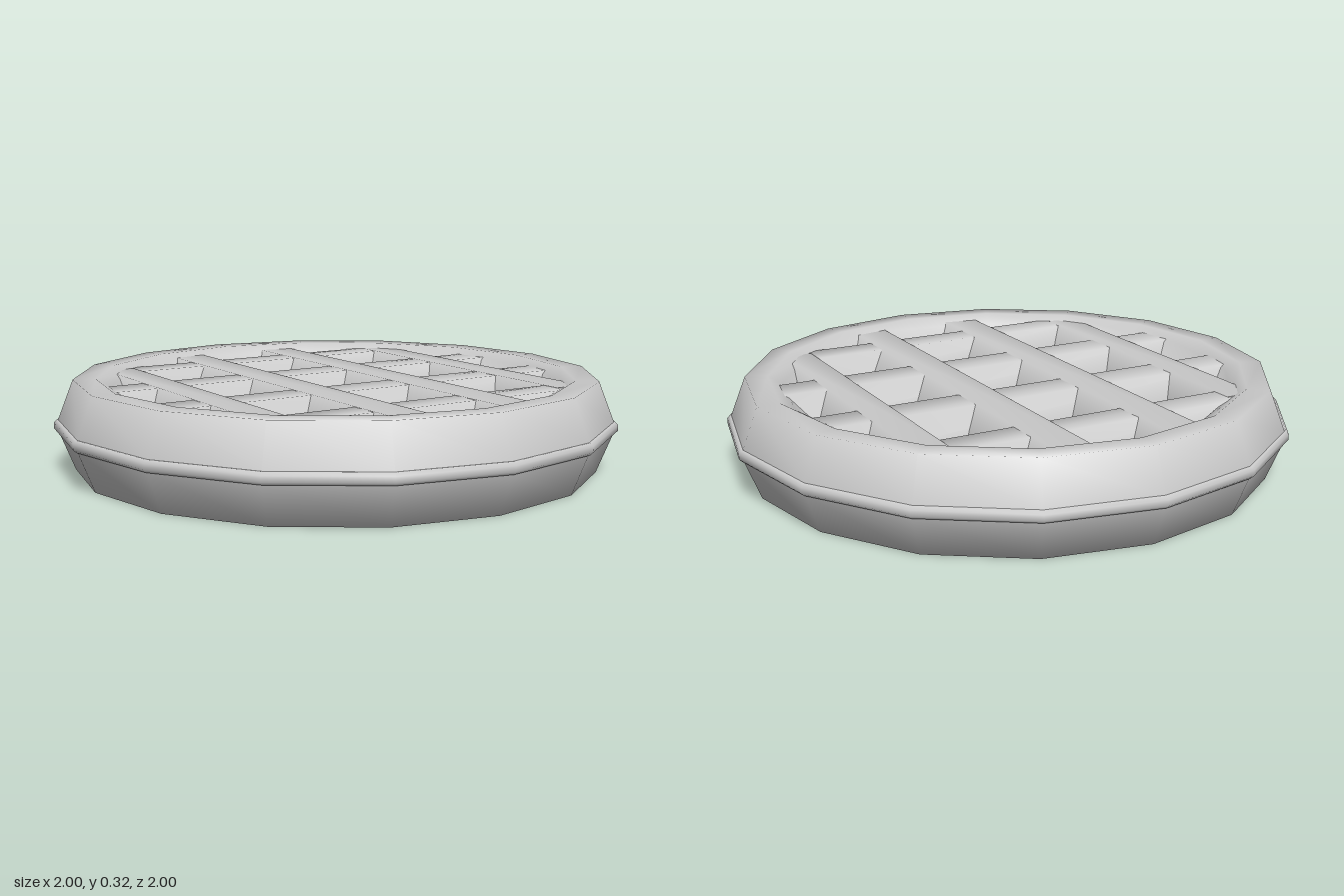
import * as THREE from 'three';
import { toCreasedNormals } from 'three/addons/utils/BufferGeometryUtils.js';

const MID = 0.16; // height of the mirror plane
const material = new THREE.MeshStandardMaterial({ color: 0xcccccc });

function addMesh(parent, name, geometry) {
  const mesh = new THREE.Mesh(geometry, material);
  mesh.name = name;
  parent.add(mesh);
  return mesh;
}

// Revolves an upper half profile (radius, height above the middle), mirrored below
function mirroredLathe(half) {
  const lower = half.map(([r, h]) => new THREE.Vector2(r, MID - h));
  const upper = half.map(([r, h]) => new THREE.Vector2(r, MID + h)).reverse();
  return new THREE.LatheGeometry([...lower, ...upper], 16);
}

// Bar along z with bevelled shoulders above and below
function barGeometry(halfWidth, halfLength, halfHeight) {
  const w = halfWidth, t = halfWidth * 0.48, h = halfHeight, s = 0.05;
  const section = new THREE.Shape([
    [w, -s], [w, s], [t, h], [-t, h], [-w, s], [-w, -s], [-t, -h], [t, -h],
  ].map(([x, y]) => new THREE.Vector2(x, y)));
  const geometry = new THREE.ExtrudeGeometry(section, { depth: 2 * halfLength, bevelEnabled: false });
  geometry.translate(0, 0, -halfLength);
  return toCreasedNormals(geometry, 1.2);
}

export function createModel() {
  const model = new THREE.Group();
  model.name = 'waffle';

  // Thin floor, sloping inner wall and thick outer rim
  addMesh(model, 'rimAndFloor', mirroredLathe([
    [0, 0.015], [0.69, 0.02], [0.80, 0.13], [0.85, 0.16], [0.93, 0.16], [0.985, 0.02],
  ]));

  // Narrow seam around the edge
  addMesh(model, 'edgeSeam', mirroredLathe([[0.97, 0.021], [0.99, 0.02], [1, 0.01]]));

  // Crossing bars of the grid
  const grid = new THREE.Group();
  grid.name = 'grid';
  model.add(grid);
  const bars = [
    { offset: 0.2, halfWidth: 0.132, halfLength: 0.85 },
    { offset: 0.58, halfWidth: 0.115, halfLength: 0.6 },
  ];
  for (const { offset, halfWidth, halfLength } of bars) {
    for (const side of [-1, 1]) {
      const along = addMesh(grid, 'lengthwiseBar', barGeometry(halfWidth, halfLength, 0.142));
      along.position.set(side * offset, MID, 0);
      const across = addMesh(grid, 'crosswiseBar', barGeometry(halfWidth, halfLength, 0.14));
      across.position.set(0, MID, side * offset);
      across.rotation.y = Math.PI / 2;
    }
  }
  return model;
}
